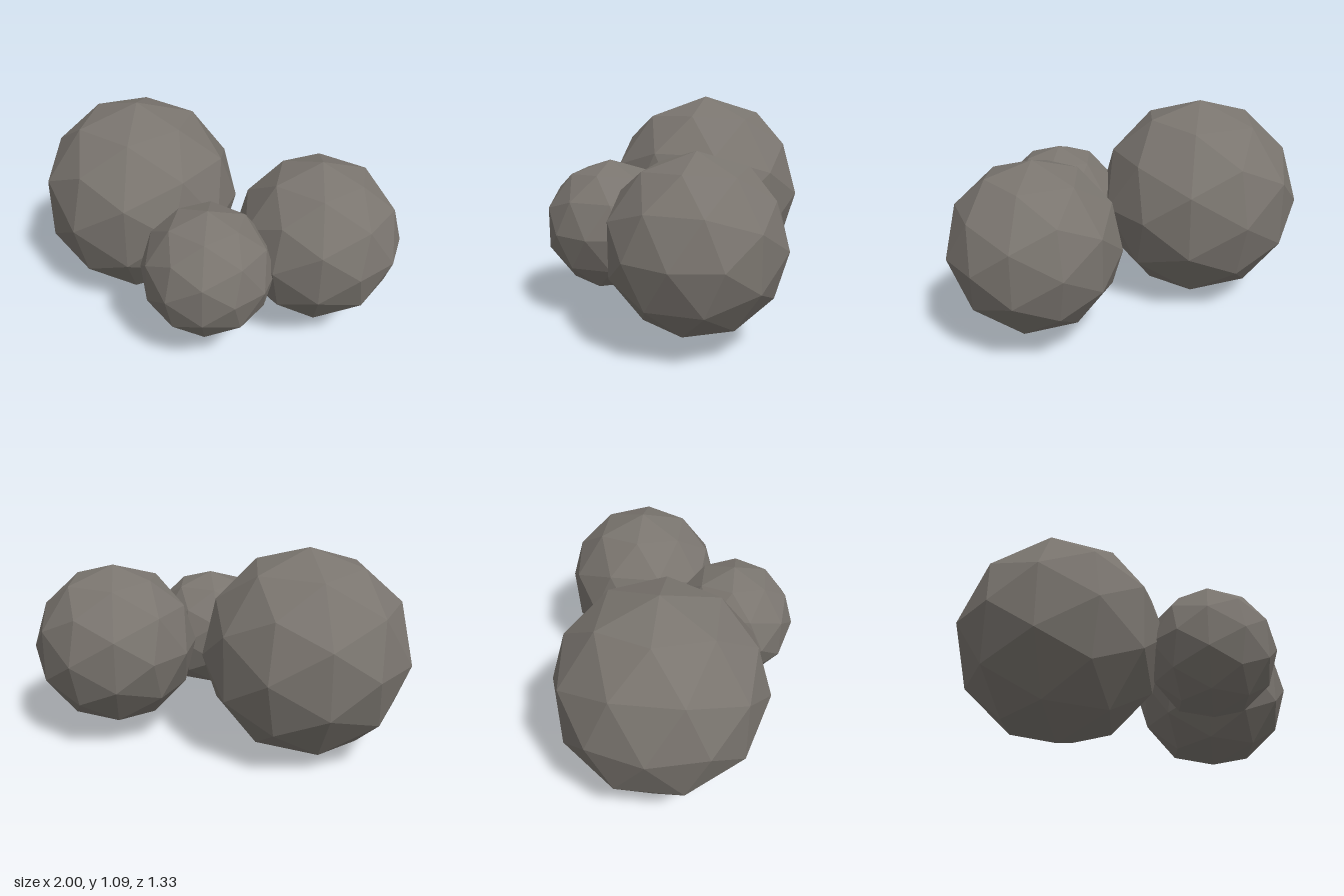
import * as THREE from 'three';

export function createModel() {
  const group = new THREE.Group();
  group.name = 'boulderCluster';
  const stone = new THREE.MeshStandardMaterial({ color: 0x7a756f, flatShading: true });

  // Each boulder is a faceted ball: name, radius, centre
  const boulders = [
    ['largeBoulder', 0.545, [-0.455, 0.547, 0.005]],
    ['mediumBoulder', 0.436, [0.562, 0.517, -0.227]],
    ['smallBoulder', 0.34, [0.252, 0.487, 0.323]],
  ];
  for (const [name, radius, centre] of boulders) {
    const boulder = new THREE.Mesh(new THREE.IcosahedronGeometry(radius, 1), stone);
    boulder.name = name;
    boulder.position.set(...centre);
    group.add(boulder);
  }
  return group;
}
